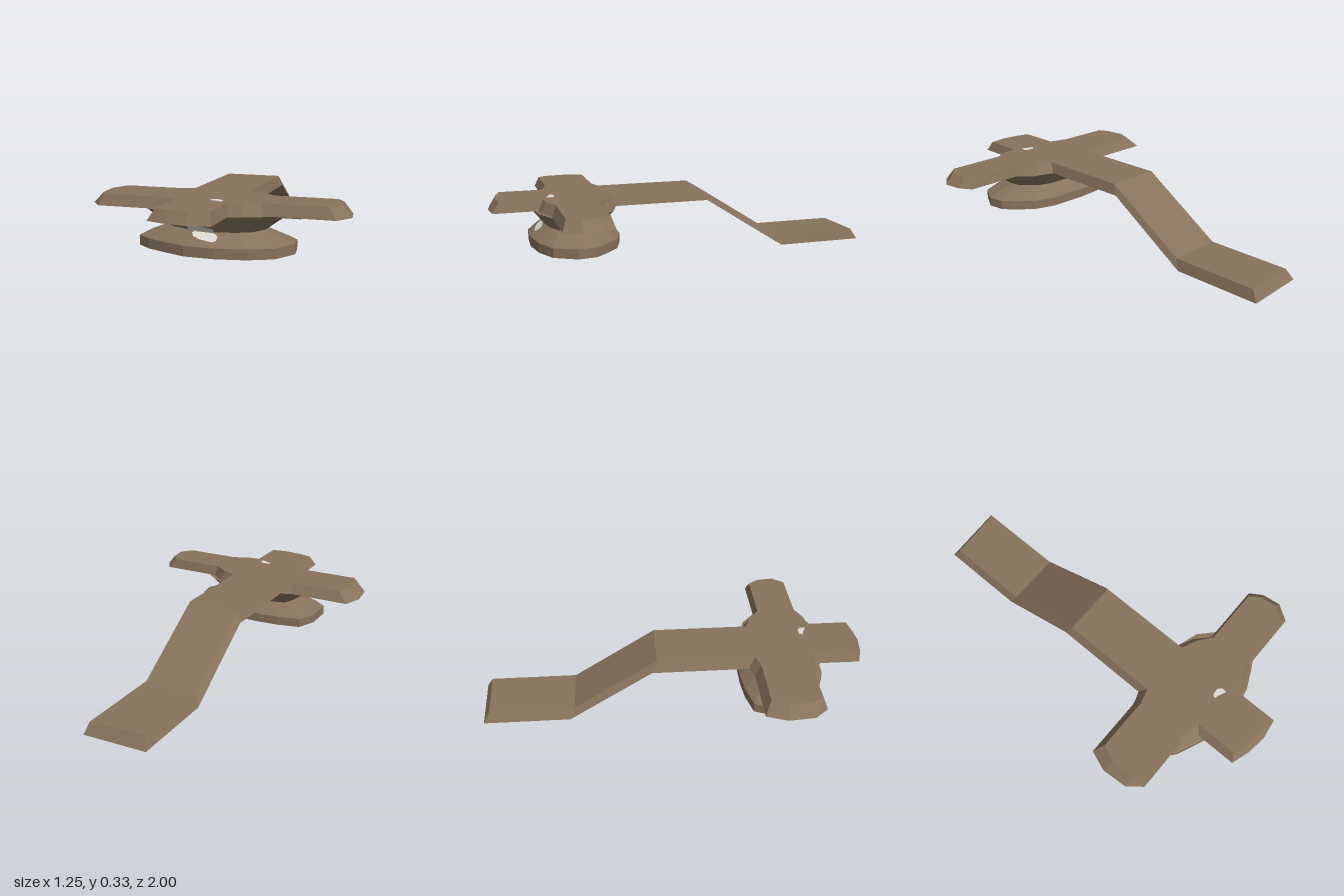
import * as THREE from 'three';

const brown = new THREE.MeshStandardMaterial({ color: 0x87735c });
brown.name = 'brown';
const pale = new THREE.MeshStandardMaterial({ color: 0xdcdad4 });
pale.name = 'pale';

// Joins equal-length rings of points with faceted walls, then caps the ends.
function loft(rings, { capStart = true, capEnd = true, closed = true } = {}) {
  const pos = [];
  const tri = (...pts) => pts.forEach((p) => pos.push(...p));
  const n = rings[0].length;
  for (let r = 0; r + 1 < rings.length; r++) {
    const a = rings[r], b = rings[r + 1];
    for (let i = 0; i < (closed ? n : n - 1); i++) {
      const j = (i + 1) % n;
      tri(a[i], a[j], b[j]);
      tri(a[i], b[j], b[i]);
    }
  }
  const cap = (ring, flip) => {
    const flat = ring.map(([x, , z]) => new THREE.Vector2(x, -z));
    for (const [i, j, k] of THREE.ShapeUtils.triangulateShape(flat, [])) {
      if (flip) tri(ring[i], ring[k], ring[j]);
      else tri(ring[i], ring[j], ring[k]);
    }
  };
  if (capStart) cap(rings[0], true);
  if (capEnd) cap(rings[rings.length - 1], false);
  const geo = new THREE.BufferGeometry();
  geo.setAttribute('position', new THREE.Float32BufferAttribute(pos, 3));
  geo.computeVertexNormals();
  return geo;
}

// Front z of a ring at a given x.
function frontZ(ring, x) {
  let best = -Infinity;
  ring.forEach((p, i) => {
    const q = ring[(i + 1) % ring.length];
    if (p[0] === q[0]) return;
    const t = (x - p[0]) / (q[0] - p[0]);
    if (t >= 0 && t <= 1) best = Math.max(best, p[2] + t * (q[2] - p[2]));
  });
  return best;
}

// Thin patch laid over the front wall between two rings.
function wallPatch(points, low, high) {
  const geo = new THREE.ShapeGeometry(new THREE.Shape(points.map(([x, y]) => new THREE.Vector2(x, y))));
  const p = geo.attributes.position;
  for (let i = 0; i < p.count; i++) {
    const t = (p.getY(i) - low[0][1]) / (high[0][1] - low[0][1]);
    const ring = low.map((a, k) => a.map((v, c) => v + (high[k][c] - v) * t));
    p.setZ(i, frontZ(ring, p.getX(i)) + 0.006);
  }
  geo.computeVertexNormals();
  return geo;
}

// Cross plate outline: base x, base z, top x, top z
const PLATE = [
  [-0.217, -0.11, -0.19, -0.085],
  [-0.217, 0.38, -0.19, 0.413],
  [-0.275, 0.402, -0.265, 0.434],
  [-0.593, 0.402, -0.54, 0.434],
  [-0.63, 0.503, -0.577, 0.52],
  [-0.619, 0.635, -0.566, 0.635],
  [-0.561, 0.704, -0.54, 0.683],
  [-0.312, 0.704, -0.265, 0.683],
  [-0.196, 0.751, -0.164, 0.714],
  [-0.196, 0.955, -0.164, 0.932],
  [-0.106, 0.985, -0.1, 0.952],
  [0, 1, 0, 0.965],
  [0.106, 0.985, 0.09, 0.952],
  [0.106, 0.765, 0.09, 0.74],
  [0.17, 0.758, 0.153, 0.735],
  [0.25, 0.72, 0.238, 0.698],
  [0.571, 0.72, 0.534, 0.698],
  [0.625, 0.64, 0.582, 0.635],
  [0.612, 0.545, 0.571, 0.545],
  [0.571, 0.481, 0.534, 0.496],
  [0.25, 0.481, 0.238, 0.496],
  [0.18, 0.415, 0.164, 0.44],
  [0.106, 0.38, 0.09, 0.408],
  [0.106, -0.11, 0.09, -0.085],
];

// Rounded base outline: x, z
const DISC = [
  [-0.379, 0.657], [-0.305, 0.715], [-0.19, 0.765], [-0.1, 0.8], [0.05, 0.807],
  [0.19, 0.782], [0.3, 0.73], [0.362, 0.62], [0.35, 0.53], [0.307, 0.48],
  [0.222, 0.402], [0.106, 0.365], [-0.1, 0.362], [-0.217, 0.372], [-0.335, 0.4], [-0.379, 0.5],
];

export function createModel() {
  const model = new THREE.Group();
  const add = (name, geo, mat) => {
    const mesh = new THREE.Mesh(geo, mat);
    mesh.name = name;
    model.add(mesh);
  };

  // Bevelled cross plate, open where the tail begins
  add('crossPlate', loft([
    PLATE.map(([x, z]) => [x, 0.277, z]),
    PLATE.map(([, , x, z]) => [x, 0.33, z]),
  ], { closed: false }), brown);

  // Stepped tail: ramp, then a flat foot with a slanted end
  const section = (yb, zb, yt, zt, skew = 0) => [
    [0.106, yb, zb], [-0.217, yb, zb + skew], [-0.19, yt, zt + skew], [0.09, yt, zt],
  ];
  add('steppedTail', loft([
    section(0.277, -0.11, 0.33, -0.085),
    section(0, -0.54, 0.055, -0.515),
    section(0, -1, 0.055, -0.968, 0.014),
  ], { capStart: false }), brown);

  // Waisted base under the plate
  const ring = (y, sx, sz) => DISC.map(([x, z]) => [-0.005 + (x + 0.009) * sx, y, 0.586 + (z - 0.586) * sz]);
  const rim = ring(0.139, 1, 1);
  const waist = ring(0.193, 0.622, 0.646);
  const collar = ring(0.277, 0.94, 0.94);
  add('waistedBase', loft([ring(0.091, 1, 1), rim, waist, collar]), brown);

  // Pale spots on the base front and the plate top
  add('lowerSpot', wallPatch([
    [-0.08, 0.187], [-0.065, 0.175], [-0.03, 0.166], [0.03, 0.16], [0.048, 0.165],
    [0.05, 0.178], [0.03, 0.19], [-0.03, 0.192], [-0.07, 0.192],
  ], rim, waist), pale);
  add('upperSpot', wallPatch([
    [-0.107, 0.197], [-0.07, 0.194], [-0.03, 0.194], [0.025, 0.194],
    [0.025, 0.21], [-0.02, 0.218], [-0.07, 0.22], [-0.105, 0.217],
  ], waist, collar), pale);
  const spot = [[-0.01, 0.695], [0.02, 0.705], [0.05, 0.72], [0.055, 0.695], [0.035, 0.676], [0, 0.678]];
  add('topSpot', loft([0.329, 0.333].map((y) => spot.map(([x, z]) => [x, y, z]))), pale);

  return model;
}
